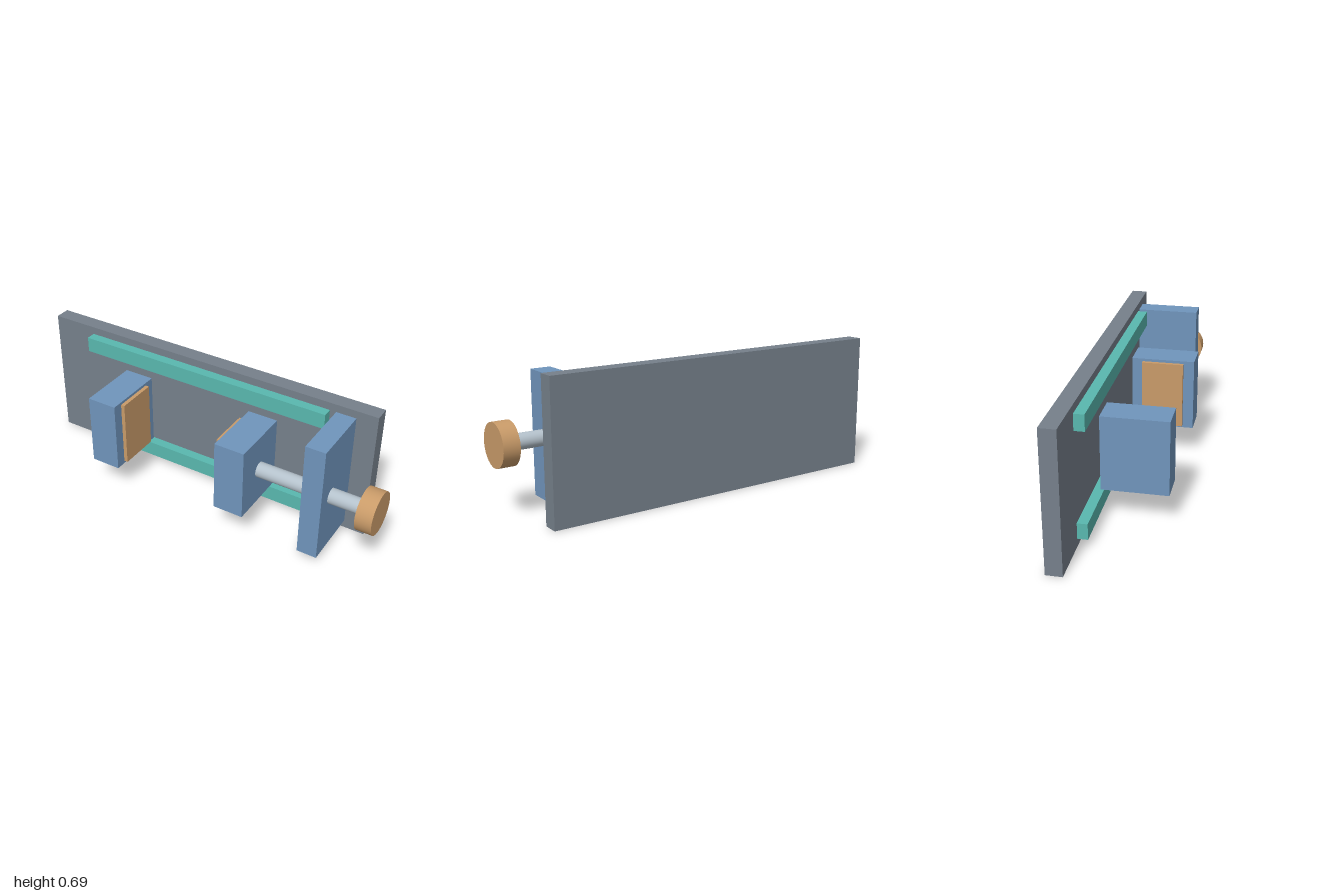
import * as THREE from 'three';

function paint(name, color) {
  const m = new THREE.MeshStandardMaterial({ color });
  m.name = name;
  return m;
}

export function createModel() {
  const group = new THREE.Group();
  const grey = paint('slate grey', 0x76808b);
  const teal = paint('teal', 0x59b8af);
  const blue = paint('steel blue', 0x7095bc);
  const tan = paint('tan', 0xc99b69);
  const silver = paint('silver', 0xb4c1cb);

  const add = (name, geometry, material, x, y, z) => {
    const mesh = new THREE.Mesh(geometry, material);
    mesh.name = name;
    mesh.position.set(x, y, z);
    group.add(mesh);
    return mesh;
  };
  // Box given by its limits on each axis
  const box = (name, material, [x0, x1], [y0, y1], [z0, z1]) =>
    add(name, new THREE.BoxGeometry(x1 - x0, y1 - y0, z1 - z0), material,
      (x0 + x1) / 2, (y0 + y1) / 2, (z0 + z1) / 2);
  // Cylinder lying along x on the screw axis
  const rod = (name, material, radius, x0, x1) => {
    const geometry = new THREE.CylinderGeometry(radius, radius, x1 - x0, 48);
    geometry.rotateZ(-Math.PI / 2);
    return add(name, geometry, material, (x0 + x1) / 2, 0.348, 0.067);
  };

  // Back plate and its two guide rails
  box('backPlate', grey, [-1, 0.861], [0, 0.695], [-0.227, -0.147]);
  box('lowerRail', teal, [-0.76, 0.62], [0.041, 0.121], [-0.147, -0.097]);
  box('upperRail', teal, [-0.76, 0.62], [0.575, 0.655], [-0.147, -0.097]);

  // Fixed and sliding jaws with grip pads facing each other
  const jawY = [0.161, 0.535], jawZ = [-0.097, 0.227];
  const padY = [0.175, 0.521], padZ = [-0.042, 0.172];
  box('fixedJaw', blue, [-0.514, -0.357], jawY, jawZ);
  box('fixedJawPad', tan, [-0.357, -0.337], padY, padZ);
  box('slidingJaw', blue, [0.218, 0.375], jawY, jawZ);
  box('slidingJawPad', tan, [0.198, 0.218], padY, padZ);

  // End block carrying the screw and knob
  box('endBlock', blue, [0.652, 0.754], [0.041, 0.655], [-0.147, 0.174]);
  rod('screw', silver, 0.039, 0.36, 0.93);
  rod('knob', tan, 0.107, 0.918, 1);

  return group;
}
